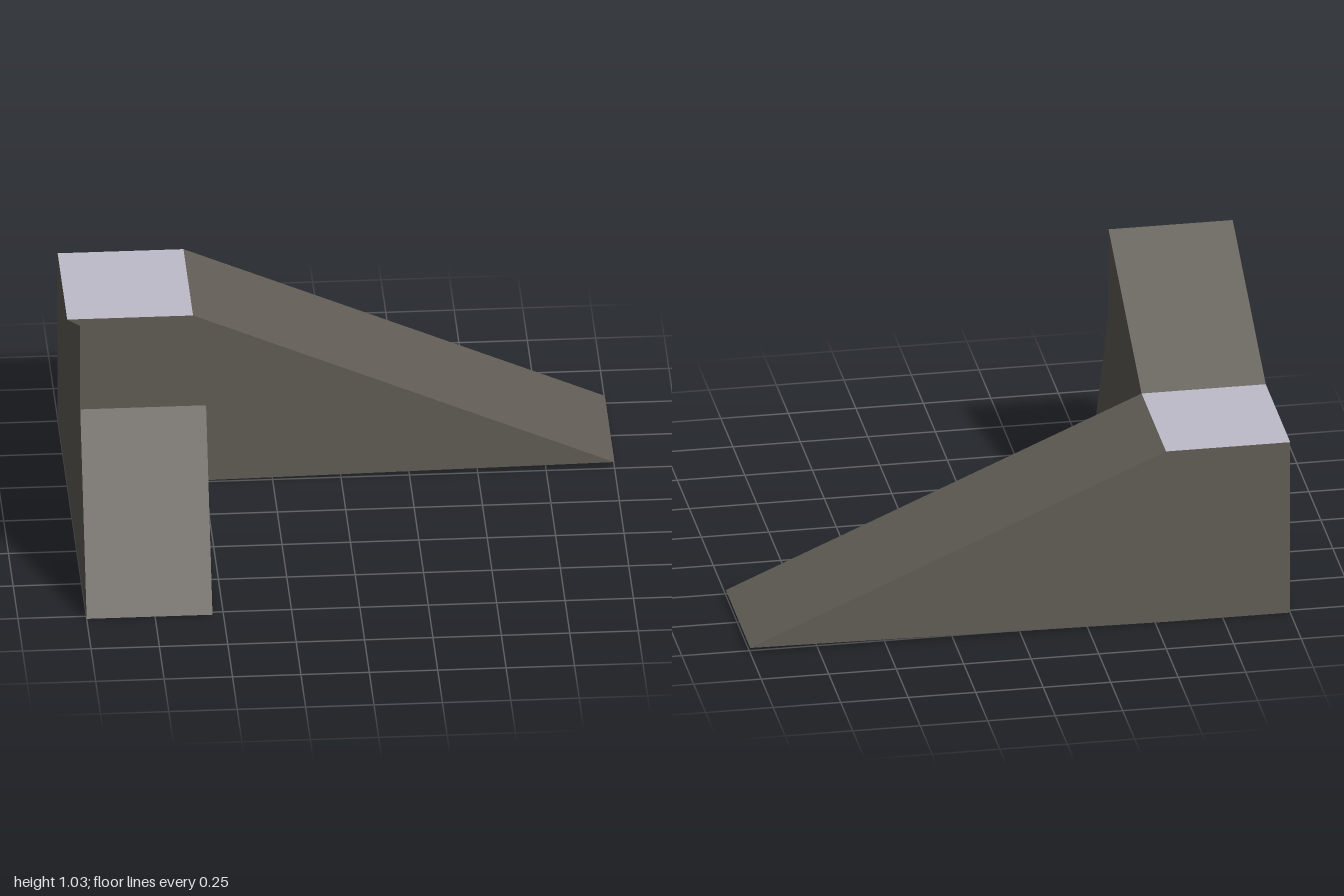
import * as THREE from 'three';

// Extrudes an outline; level faces get the second material, all others the first
function prism(name, outline, depth, materials) {
  const shape = new THREE.Shape(outline.map(([x, y]) => new THREE.Vector2(x, y)));
  const geometry = new THREE.ExtrudeGeometry(shape, { depth, bevelEnabled: false });
  geometry.clearGroups();
  const normal = geometry.attributes.normal;
  for (let i = 0; i < normal.count; i += 3) {
    geometry.addGroup(i, 3, Math.abs(normal.getY(i)) > 0.99 ? 1 : 0);
  }
  const mesh = new THREE.Mesh(geometry, materials);
  mesh.name = name;
  return mesh;
}

export function createModel() {
  const stone = new THREE.MeshStandardMaterial({ color: 0x625e56 });
  stone.name = 'brown grey';
  const pale = new THREE.MeshStandardMaterial({ color: 0xbebcca });
  pale.name = 'pale lavender';
  const materials = [stone, pale];

  const model = new THREE.Group();
  model.name = 'cornerRamp';

  // Corner platform with the long ramp running down to +x
  const ramp = prism('platformAndRamp', [
    [-1, 0], [-0.54, 0], [1, 0.02], [-0.54, 0.685], [-1, 0.685],
  ], 0.51, materials);
  ramp.position.z = -0.77;
  model.add(ramp);

  // Front wing: rises towards the front, drops, then slopes out to the ground
  const wing = prism('frontWing', [
    [-0.26, 0], [0.77, 0], [0.43, 0.685], [0.43, 1.03], [-0.26, 0.685],
  ], 0.46, materials);
  wing.rotation.y = -Math.PI / 2; // outline runs along z, depth along -x
  wing.position.x = -0.54;
  model.add(wing);

  return model;
}
